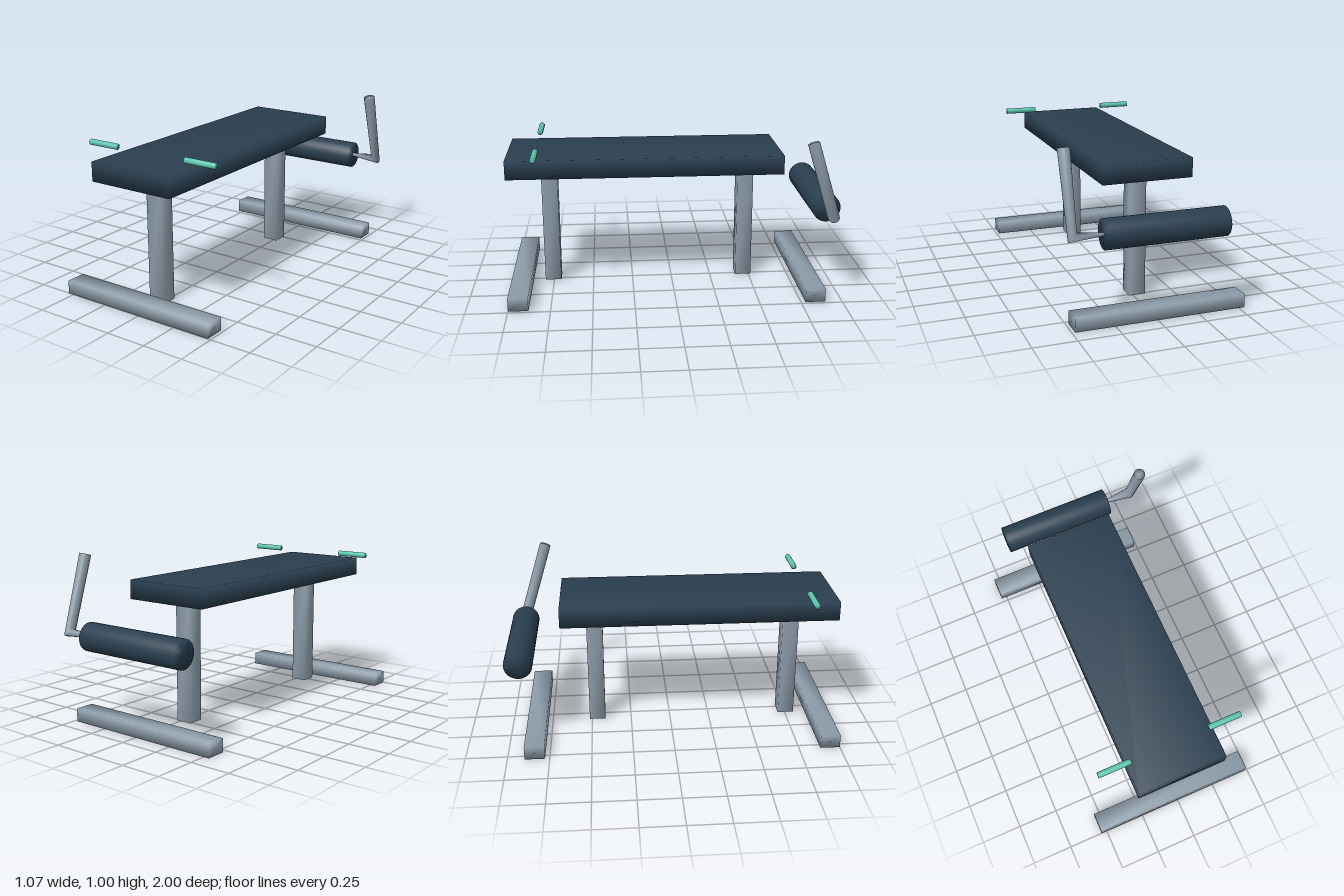
import * as THREE from 'three';
import { mergeVertices } from 'three/addons/utils/BufferGeometryUtils.js';

const steel = new THREE.MeshStandardMaterial({ color: 0x8e9eac });
const padding = new THREE.MeshStandardMaterial({ color: 0x2a3f50 });
const grip = new THREE.MeshStandardMaterial({ color: 0x5cc4ae });

// Weld corners so that shading runs smoothly across every edge
function soften(geometry) {
  geometry.deleteAttribute('normal');
  geometry.deleteAttribute('uv');
  const welded = mergeVertices(geometry, 1e-4);
  welded.computeVertexNormals();
  return welded;
}

export function createModel() {
  const model = new THREE.Group();
  model.name = 'exerciseBench';
  const midX = -0.027;

  function add(name, geometry, material, x = 0, y = 0, z = 0) {
    const mesh = new THREE.Mesh(soften(geometry), material);
    mesh.name = name;
    mesh.position.set(x, y, z);
    model.add(mesh);
  }

  function box(name, material, [w, h, d], [x, y, z]) {
    add(name, new THREE.BoxGeometry(w, h, d), material, x, y, z);
  }

  // Cylinder lying along x
  function bar(name, material, radius, length, [x, y, z]) {
    add(name, new THREE.CylinderGeometry(radius, radius, length, 24).rotateZ(-Math.PI / 2), material, x, y, z);
  }

  // Padded bench top
  box('benchPad', padding, [0.54, 0.115, 1.665], [midX, 0.7925, 0.1675]);

  // Uprights and cross feet at each end
  box('frontLeg', steel, [0.1, 0.735, 0.1], [midX, 0.3675, 0.755]);
  box('backLeg', steel, [0.1, 0.735, 0.1], [midX, 0.3675, -0.465]);
  box('frontFoot', steel, [1.018, 0.08, 0.12], [midX, 0.04, 0.94]);
  box('backFoot', steel, [1.018, 0.08, 0.12], [midX, 0.04, -0.838]);

  // Leg roller behind the bench
  bar('legRoller', padding, 0.085, 0.71, [midX, 0.5425, -0.914]);

  // Hand grips
  for (const [name, side] of [['leftGrip', 1], ['rightGrip', -1]]) {
    bar(name, grip, 0.0175, 0.2, [midX + side * 0.34, 0.897, 0.818]);
  }

  // Crank: tapered arm out of the roller, mitred elbow, lever leaning forward
  const centres = [[0.328, 0.544, -0.914], [0.498, 0.543, -0.914], [0.498, 0.99, -0.775]]
    .map((p) => new THREE.Vector3(...p));
  const radii = [0.01, 0.035, 0.035];
  const arm = centres[1].clone().sub(centres[0]).normalize();
  const lever = centres[2].clone().sub(centres[1]).normalize();
  const up = new THREE.Vector3(0, 1, 0);
  const turns = [arm, arm.clone().add(lever).normalize(), lever]
    .map((t) => new THREE.Quaternion().setFromUnitVectors(up, t));
  const crank = new THREE.CylinderGeometry(1, 1, 1, 20, 2);
  const pos = crank.attributes.position;
  const v = new THREE.Vector3();
  for (let i = 0; i < pos.count; i++) {
    v.fromBufferAttribute(pos, i);
    const ring = Math.round((v.y + 0.5) * 2);
    v.setY(0).multiplyScalar(radii[ring]).applyQuaternion(turns[ring]).add(centres[ring]);
    pos.setXYZ(i, v.x, v.y, v.z);
  }
  add('crankLever', crank, steel);

  return model;
}
